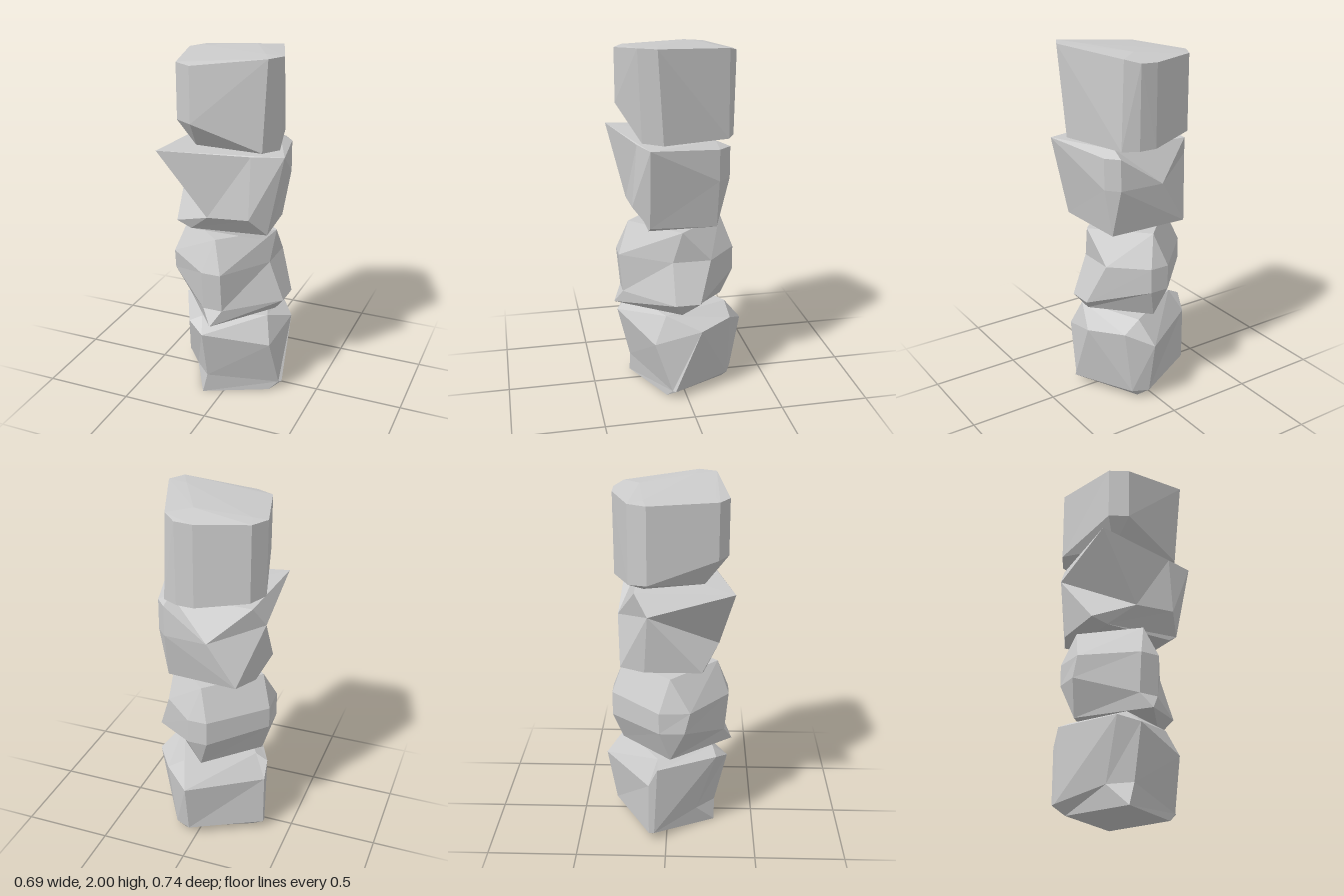
import * as THREE from 'three';
import { ConvexGeometry } from 'three/addons/geometries/ConvexGeometry.js';

const material = new THREE.MeshStandardMaterial({ color: 0xcccccc, flatShading: true });
const v = ([x, y, z]) => new THREE.Vector3(x, y, z);

// Convex boulder from its corner points
const hull = (points) => new ConvexGeometry(points.map(v));

// Faceted boulder from stacked rings, each running front, right, back, left.
// The sides listed in flipped are split along their other diagonal.
function loft(rings, flipped = []) {
  const pos = [];
  const tri = (...corners) => {
    const [a, b, c] = corners.map(v);
    if (b.clone().sub(a).cross(c.clone().sub(a)).length() < 1e-6) return;
    corners.forEach((p) => pos.push(...p));
  };
  const n = rings[0].length;
  for (let r = 0; r < rings.length - 1; r++) {
    for (let i = 0; i < n; i++) {
      const j = (i + 1) % n;
      const [a, b, c, d] = [rings[r][i], rings[r][j], rings[r + 1][j], rings[r + 1][i]];
      if (flipped.includes(i)) {
        tri(a, b, d);
        tri(b, c, d);
      } else {
        tri(a, b, c);
        tri(a, c, d);
      }
    }
  }
  const bottom = rings[0], top = rings[rings.length - 1];
  for (let i = 1; i < n - 1; i++) {
    tri(bottom[0], bottom[i + 1], bottom[i]);
    tri(top[0], top[i], top[i + 1]);
  }
  const g = new THREE.BufferGeometry();
  g.setAttribute('position', new THREE.Float32BufferAttribute(pos, 3));
  g.computeVertexNormals();
  return g;
}

// Four-cornered ring with every corner doubled, to meet an eight-cornered one
const diamond = (corners) => corners.flatMap((p) => [p, p]);

export function createModel() {
  const group = new THREE.Group();
  group.name = 'stackedRocks';
  const add = (name, geometry) => {
    const mesh = new THREE.Mesh(geometry, material);
    mesh.name = name;
    group.add(mesh);
  };

  // Base rock, bulging outward towards its top
  add('baseRock', loft([
    diamond([[-0.11, 0, 0.275], [0.24, 0, 0.11], [0.08, 0, -0.25], [-0.28, 0, -0.08]]),
    [[-0.185, 0.12, 0.17], [-0.08, 0.12, 0.275], [0.29, 0.05, 0.085], [0.305, 0.05, 0.07],
      [0.13, 0.05, -0.27], [0.04, 0.05, -0.31], [-0.35, 0.05, -0.1], [-0.35, 0.05, -0.07]],
    [[-0.185, 0.46, 0.28], [-0.08, 0.42, 0.345], [0.265, 0.34, 0.18], [0.305, 0.415, -0.08],
      [0.18, 0.43, -0.27], [0.04, 0.36, -0.365], [-0.35, 0.36, -0.1], [-0.35, 0.46, -0.05]],
    diamond([[-0.115, 0.495, 0.26], [0.225, 0.495, 0.11], [0.08, 0.495, -0.26], [-0.28, 0.495, -0.05]]),
  ], [3]));

  // Second rock, a bevelled diamond with a pinched right side
  add('secondRock', loft([
    diamond([[-0.02, 0.5, 0.37], [0.24, 0.5, 0.02], [-0.02, 0.5, -0.26], [-0.295, 0.5, 0.02]]),
    [[-0.075, 0.585, 0.325], [0.035, 0.585, 0.325], [0.305, 0.585, 0.07], [0.305, 0.585, -0.07],
      [0.035, 0.67, -0.315], [-0.075, 0.67, -0.315], [-0.35, 0.69, -0.04], [-0.35, 0.69, 0.1]],
    [[-0.075, 0.81, 0.345], [0.035, 0.81, 0.345], [0.22, 0.81, 0.07], [0.22, 0.81, -0.145],
      [0.035, 0.81, -0.315], [-0.075, 0.81, -0.315], [-0.35, 0.81, -0.04], [-0.34, 0.81, 0.13]],
    diamond([[-0.02, 0.99, 0.28], [0.24, 0.99, 0.02], [-0.02, 0.99, -0.25], [-0.29, 0.99, 0.02]]),
  ]));

  // Third rock, with an overhanging pointed front corner and a hollow left side
  const spike = [-0.32, 1.485, 0.36];
  const frontEdge = [0.175, 1.48, 0.255];
  const rightCorner = [0.345, 1.485, 0.21];
  const leftBulge = [-0.335, 1.36, -0.1];
  const leftCorner = [-0.28, 1.475, -0.17];
  const backBulge = [-0.06, 1.28, -0.275];
  const lowCorner = [0.2, 1, -0.18];
  add('thirdRock', loft([
    diamond([[-0.2, 1, 0.2], [0.2, 1, 0.2], lowCorner, [-0.2, 1, -0.18]]),
    [[-0.065, 1.115, 0.285], [0.175, 1.135, 0.285], [0.25, 1.03, 0.2], lowCorner,
      lowCorner, [-0.22, 1.03, -0.255], [-0.29, 1.03, -0.12], [-0.29, 1.03, 0.19]],
    [spike, frontEdge, rightCorner, [0.25, 1.275, -0.18],
      [0.19, 1.275, -0.25], backBulge, leftBulge, leftBulge],
    [spike, frontEdge, rightCorner, [0.25, 1.45, -0.18],
      [0.19, 1.45, -0.25], backBulge, leftCorner, leftCorner],
    diamond([spike, rightCorner, [0.18, 1.485, -0.17], leftCorner]),
  ], [4, 7]));

  // Top rock, a leaning block with chamfered corners and a shallow crown
  add('topRock', hull([
    [-0.235, 1.945, 0.27], [-0.135, 1.945, 0.325], [0.267, 2, 0.26], [0.32, 2, 0.165],
    [0.17, 1.97, -0.245], [0.1, 1.95, -0.298], [0, 1.945, -0.298],
    [-0.275, 1.945, -0.2], [-0.33, 1.945, -0.1],
    [-0.25, 1.955, -0.12], [0.05, 1.98, -0.155], [0.21, 1.998, 0.145], [-0.155, 1.955, 0.245],
    [-0.235, 1.64, 0.27], [-0.135, 1.64, 0.325], [0.23, 1.5, 0.235], [0.29, 1.495, 0.13],
    [0.185, 1.49, -0.245], [0.1, 1.49, -0.29], [0, 1.49, -0.295],
    [-0.275, 1.52, -0.2], [-0.33, 1.53, -0.1], [-0.25, 1.49, -0.12], [-0.16, 1.49, 0.2],
  ]));

  return group;
}
